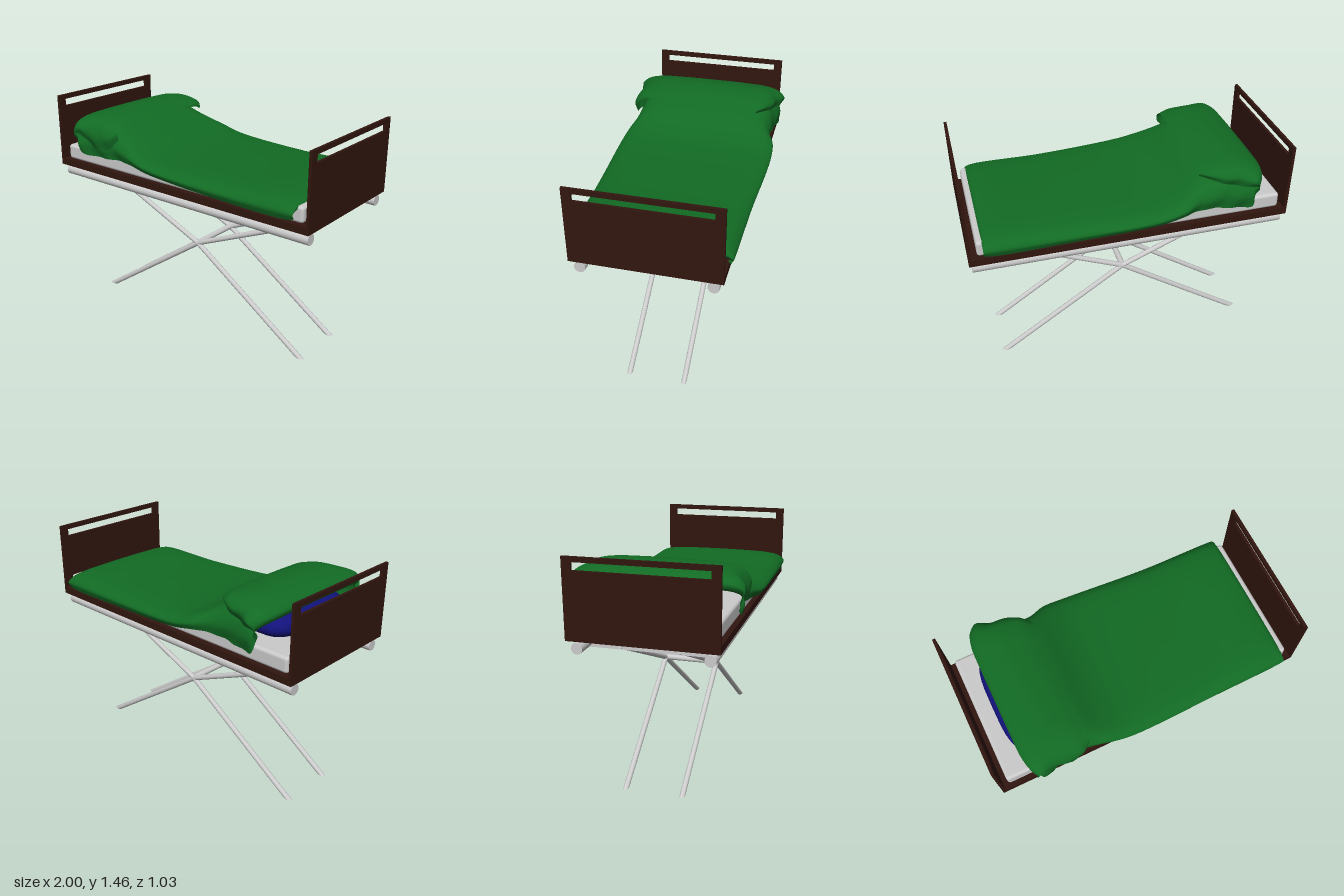
import * as THREE from 'three';
import { RoundedBoxGeometry } from 'three/addons/geometries/RoundedBoxGeometry.js';

const mat = (color, side = THREE.FrontSide) => new THREE.MeshStandardMaterial({ color, side });
const V = (x, y, z) => new THREE.Vector3(x, y, z);
const MID = -0.01; // centre line of the bed in z

export function createModel() {
  const bed = new THREE.Group();
  bed.name = 'bed';
  const metal = mat(0xcccccc);
  const wood = mat(0x32160f);

  function add(name, geometry, material, x = 0, y = 0, z = 0) {
    const mesh = new THREE.Mesh(geometry, material);
    mesh.name = name;
    mesh.position.set(x, y, z);
    bed.add(mesh);
    return mesh;
  }

  // Slanted tube whose ends are cut level: an upright cylinder sheared in x
  function slantedTube(name, a, b, r) {
    const h = b.y - a.y, dx = b.x - a.x;
    const g = new THREE.CylinderGeometry(r, r, h, 16);
    g.scale(Math.hypot(dx, h) / h, 1, 1);
    const shear = new THREE.Matrix4().set(1, dx / h, 0, 0, 0, 1, 0, 0, 0, 0, 1, 0, 0, 0, 0, 1);
    g.applyMatrix4(shear);
    add(name, g, metal, (a.x + b.x) / 2, (a.y + b.y) / 2, a.z);
  }

  // Wooden base
  add('bedBase', new THREE.BoxGeometry(1.98, 0.045, 0.89), wood, 0, 0.9975, MID);

  // Head and foot boards with a grip slot
  const panel = new THREE.Shape([[-0.445, 0], [0.445, 0], [0.445, 0.48], [-0.445, 0.48]]
    .map(p => new THREE.Vector2(...p)));
  panel.holes.push(new THREE.Path([[-0.39, 0.403], [-0.39, 0.45], [0.39, 0.45], [0.39, 0.403]]
    .map(p => new THREE.Vector2(...p))));
  const panelGeo = new THREE.ExtrudeGeometry(panel, { depth: 0.018, bevelEnabled: false });
  panelGeo.translate(0, 0, -0.009).rotateY(Math.PI / 2);
  add('headBoard', panelGeo, wood, -0.991, 0.975, MID);
  add('footBoard', panelGeo, wood, 0.991, 0.975, MID);

  // Under-frame: long rails, cross members
  for (const side of [-1, 1]) {
    const rail = new THREE.CylinderGeometry(0.034, 0.034, 1.965, 24).rotateZ(Math.PI / 2);
    add('sideRail', rail, metal, 0, 0.928, MID + side * 0.385);
    add('crossMember', new THREE.BoxGeometry(0.055, 0.052, 0.77), metal, side * 0.82, 0.925, MID);
  }

  // Scissor legs, kinked at the central axle
  for (const z of [MID - 0.177, MID + 0.179]) {
    for (const s of [-1, 1]) {
      slantedTube('lowerLeg', V(s * 0.822, 0, z), V(0, 0.56, z), 0.017);
      slantedTube('upperLeg', V(0, 0.56, z), V(s * 0.82, 0.91, z), 0.017);
    }
  }
  add('axle', new THREE.CylinderGeometry(0.019, 0.019, 0.36, 16).rotateX(Math.PI / 2), metal, 0, 0.563, MID);

  // Mattress
  add('mattress', new RoundedBoxGeometry(1.895, 0.1, 0.84, 4, 0.02), metal, -0.002, 1.07, MID);

  // Pillow: a sphere squared off in plan
  const pillow = new THREE.SphereGeometry(1, 40, 24);
  const p = pillow.attributes.position;
  const square = c => Math.sign(c) * Math.abs(c) ** 0.55;
  for (let i = 0; i < p.count; i++) {
    p.setXYZ(i, square(p.getX(i)) * 0.2, p.getY(i) * 0.085, square(p.getZ(i)) * 0.345);
  }
  pillow.computeVertexNormals();
  add('pillow', pillow, mat(0x12127a), -0.65, 1.195, -0.015);

  add('blanket', blanketGeometry(), mat(0x126b24, THREE.DoubleSide));
  return bed;
}

// Blanket: one sheet lofted from foot to head, then folded back over itself
function blanketGeometry() {
  // x, top, back hem, front hem, back z, front z
  const stations = [
    [0.885, 1.08, 1.055, 1.055, -0.465, 0.44],
    [0.91, 1.125, 1.055, 1.055, -0.485, 0.46],
    [0.88, 1.15, 1.045, 1.045, -0.488, 0.465],
    [0.4, 1.15, 1.05, 1.05, -0.495, 0.475],
    [-0.15, 1.17, 1.085, 1.09, -0.52, 0.49],
    [-0.3, 1.215, 1.11, 1.11, -0.51, 0.475],
    [-0.42, 1.275, 1.11, 1.11, -0.47, 0.45],
    [-0.6, 1.33, 1.1, 1.105, -0.475, 0.465],
    [-0.74, 1.32, 1.1, 1.13, -0.5, 0.5],
    [-0.8, 1.28, 1.17, 1.2, -0.49, 0.49],
    [-0.82, 1.315, 1.22, 1.23, -0.505, 0.505],
    [-0.785, 1.352, 1.25, 1.25, -0.515, 0.51],
    [-0.65, 1.385, 1.25, 1.18, -0.48, 0.49],
    [-0.5, 1.37, 1.29, 1.175, -0.44, 0.495],
    [-0.425, 1.345, 1.3, 1.25, -0.37, 0.45],
  ];
  // Half section: fraction of half width, fraction of drop to the hem
  const half = [[0.45, 0.02], [0.75, 0.08], [0.92, 0.25], [1, 0.6], [0.97, 1]];
  const NU = 90, NV = 56;

  const sections = stations.map(([x, top, hemB, hemF, zB, zF]) => {
    const point = (w, d, hem, z) =>
      V(x + (x < -0.78 ? 0.05 * w ** 8 : 0), top - d * (top - hem), z * w);
    const back = half.map(([w, d]) => point(w, d, hemB, zB)).reverse();
    const front = half.map(([w, d]) => point(w, d, hemF, zF));
    return new THREE.CatmullRomCurve3([...back, V(x, top, 0), ...front]);
  });

  const positions = [], index = [];
  for (let j = 0; j <= NV; j++) {
    const strand = new THREE.CatmullRomCurve3(sections.map(s => s.getPoint(j / NV)));
    const edge = Math.abs(j / NV * 2 - 1) ** 3;
    for (let i = 0; i <= NU; i++) {
      const q = strand.getPoint(i / NU);
      // Soft creases on the hanging sides towards the head
      const crease = edge * THREE.MathUtils.smoothstep(-q.x, 0.2, 0.6) * 0.008;
      positions.push(q.x, q.y, q.z + crease * Math.sin(q.x * 38 + q.y * 25));
      if (i < NU && j < NV) {
        const a = j * (NU + 1) + i, b = a + NU + 1;
        index.push(a, b, a + 1, b, b + 1, a + 1);
      }
    }
  }
  const g = new THREE.BufferGeometry();
  g.setAttribute('position', new THREE.Float32BufferAttribute(positions, 3));
  // Winding is chosen so the upper face points outwards
  for (let k = 0; k < index.length; k += 3) [index[k + 1], index[k + 2]] = [index[k + 2], index[k + 1]];
  g.setIndex(index);
  g.computeVertexNormals();
  return g;
}
